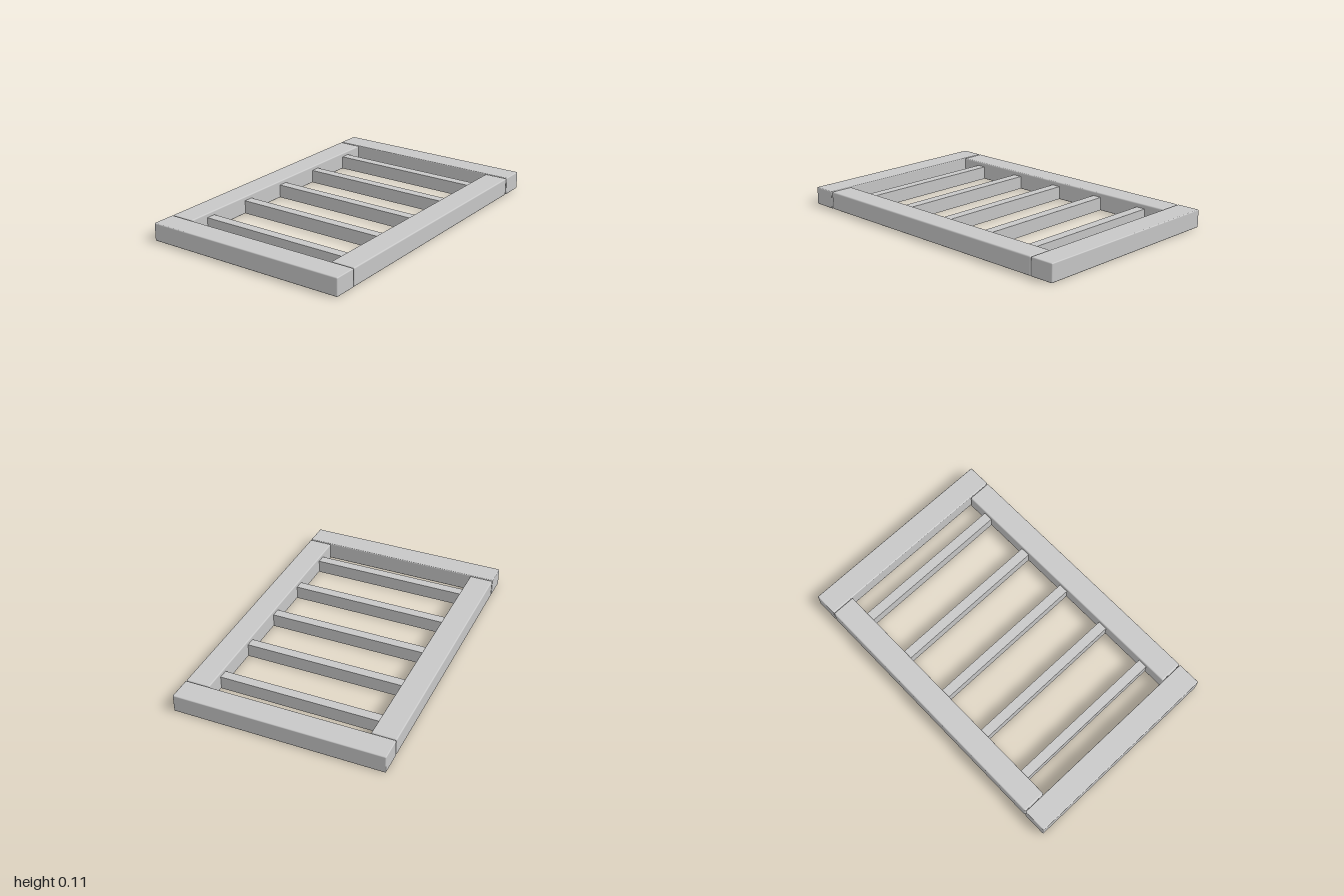
import * as THREE from 'three';
import { RoundedBoxGeometry } from 'three/addons/geometries/RoundedBoxGeometry.js';

export function createModel() {
  const model = new THREE.Group();
  model.name = 'barredFrame';
  const grey = new THREE.MeshStandardMaterial({ color: 0xc7c7c7 });
  grey.name = 'light grey';

  const HEIGHT = 0.111, BEAM = 0.15, HALF_X = 1, HALF_Z = 0.649;

  function add(name, geometry, x, y, z) {
    const mesh = new THREE.Mesh(geometry, grey);
    mesh.name = name;
    mesh.position.set(x, y, z);
    model.add(mesh);
  }

  // Two full-depth side beams, edges slightly eased
  const sideGeo = new RoundedBoxGeometry(BEAM, HEIGHT, HALF_Z * 2, 2, 0.006);
  add('leftBeam', sideGeo, HALF_X - BEAM / 2, HEIGHT / 2, 0);
  add('rightBeam', sideGeo, -HALF_X + BEAM / 2, HEIGHT / 2, 0);

  // Front and back rails fitted between the side beams
  const railGeo = new RoundedBoxGeometry((HALF_X - BEAM) * 2 - 0.008, HEIGHT, BEAM, 2, 0.008);
  add('frontRail', railGeo, 0, HEIGHT / 2, HALF_Z - BEAM / 2);
  add('backRail', railGeo, 0, HEIGHT / 2, -HALF_Z + BEAM / 2);

  // Five thin bars, near the underside and lower than the frame
  const barHeight = 0.083;
  const barGeo = new THREE.BoxGeometry(0.06, barHeight, (HALF_Z - BEAM) * 2);
  for (let i = -2; i <= 2; i++) {
    add('bar' + (i + 3), barGeo, i * 0.342, barHeight / 2 + 0.002, 0);
  }
  return model;
}
